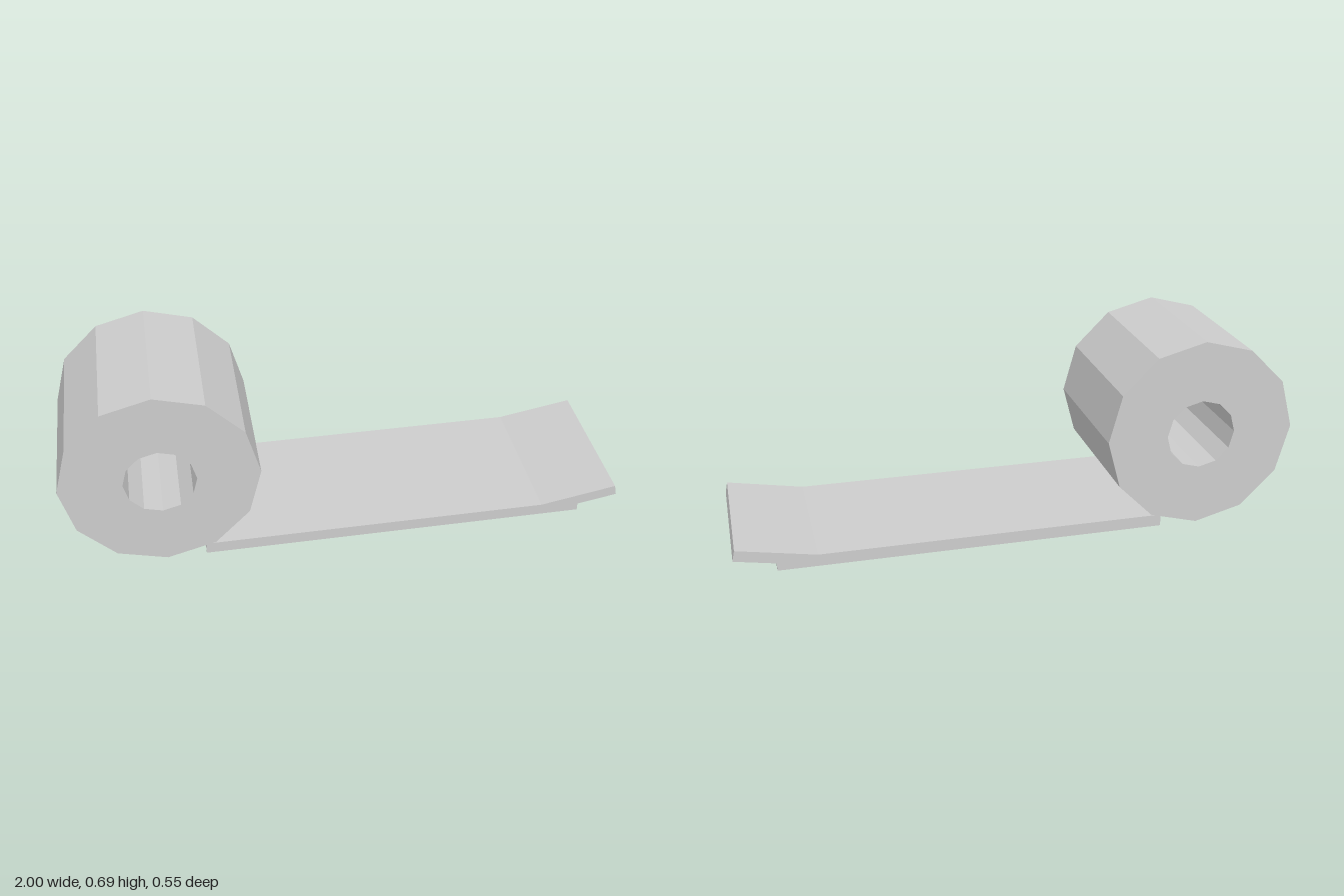
import * as THREE from 'three';

const WIDTH = 0.55;

// Points of a twelve-sided ring with a corner at the top
function ringPoints(radius, sides = 12) {
  return Array.from({ length: sides }, (_, i) => {
    const a = (i / sides) * Math.PI * 2;
    return new THREE.Vector2(Math.cos(a) * radius, Math.sin(a) * radius);
  });
}

// Extrude a side profile across the full width, centred on z
function extrudeAcross(name, shape, material) {
  const geometry = new THREE.ExtrudeGeometry(shape, { depth: WIDTH, bevelEnabled: false });
  geometry.translate(0, 0, -WIDTH / 2);
  const mesh = new THREE.Mesh(geometry, material);
  mesh.name = name;
  return mesh;
}

export function createModel() {
  const group = new THREE.Group();
  group.name = 'unrolledMat';
  const matGrey = new THREE.MeshStandardMaterial({ color: 0xcccccc, flatShading: true });
  matGrey.name = 'light grey';

  // Rolled-up end with a hollow core
  const rollShape = new THREE.Shape(ringPoints(0.345));
  rollShape.holes.push(new THREE.Path(ringPoints(0.126)));
  const roll = extrudeAcross('roll', rollShape, matGrey);
  roll.position.set(-0.657, 0.345, 0);
  group.add(roll);

  // Flat strip with its free end curling up past a small step
  const stripProfile = [
    [-0.52, 0], [0.855, 0], [0.855, 0.028], [1, 0.054],
    [0.992, 0.093], [0.715, 0.043], [-0.52, 0.043],
  ].map(([x, y]) => new THREE.Vector2(x, y));
  group.add(extrudeAcross('strip', new THREE.Shape(stripProfile), matGrey));

  return group;
}
